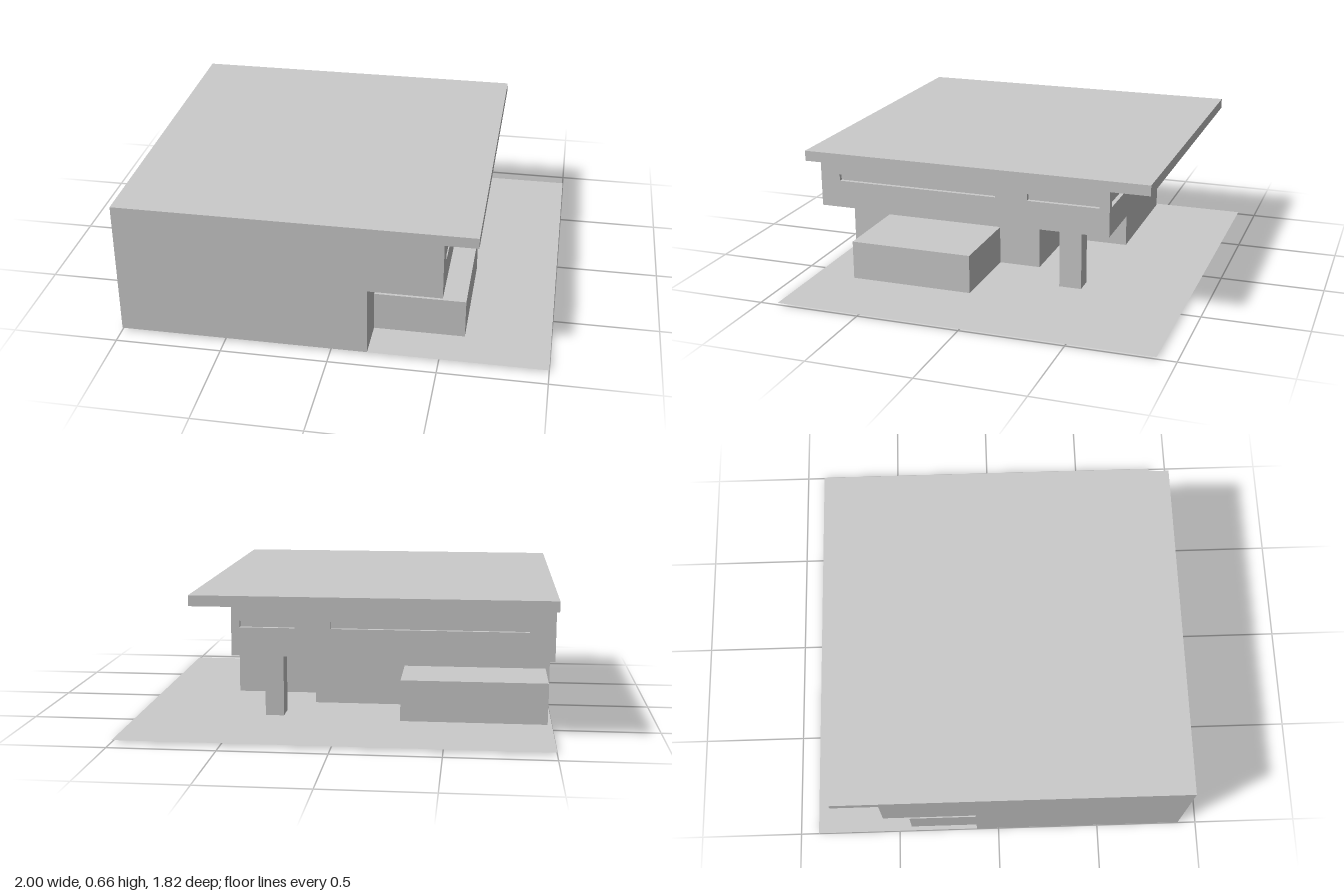
import * as THREE from 'three';

const material = new THREE.MeshStandardMaterial({ color: 0xcccccc, side: THREE.DoubleSide });
const GROUND = 0.01, FLOOR = 0.34, CEILING = 0.61, TOP = 0.66;

function add(parent, name, geometry) {
  const mesh = new THREE.Mesh(geometry, material);
  mesh.name = name;
  parent.add(mesh);
  return mesh;
}

// Solid block given by its limits on each axis
function block(parent, name, [x0, x1], [y0, y1], [z0, z1]) {
  const mesh = add(parent, name, new THREE.BoxGeometry(x1 - x0, y1 - y0, z1 - z0));
  mesh.position.set((x0 + x1) / 2, (y0 + y1) / 2, (z0 + z1) / 2);
}

const polygon = (points) => points.map(([x, y]) => new THREE.Vector2(x, y));
const rect = (x0, x1, y0, y1) => [[x0, y0], [x1, y0], [x1, y1], [x0, y1]];

// Thin flat wall facing local +z; each opening [x0, x1, y0, y1] is a shallow recess
function wall(parent, name, outline, openings = [], depth = 0.02) {
  const group = new THREE.Group();
  group.name = name;
  const shape = new THREE.Shape(polygon(outline));
  for (const [x0, x1, y0, y1] of openings) {
    shape.holes.push(new THREE.Path(polygon(rect(x0, x1, y0, y1))));
    const recess = new THREE.BoxGeometry(x1 - x0, y1 - y0, depth);
    // Leave out the front face of the box so the recess is open
    const index = Array.from(recess.index.array);
    index.splice(24, 6);
    recess.setIndex(index);
    recess.clearGroups();
    add(group, 'recess', recess).position.set((x0 + x1) / 2, (y0 + y1) / 2, -depth / 2);
  }
  add(group, name + 'Surface', new THREE.ShapeGeometry(shape));
  parent.add(group);
  return group;
}

// Horizontal sheet from a plan outline in x and z
function sheet(parent, name, plan, y) {
  const shape = new THREE.Shape(polygon(plan.map(([x, z]) => [x, -z])));
  const mesh = add(parent, name, new THREE.ShapeGeometry(shape));
  mesh.rotation.x = -Math.PI / 2;
  mesh.position.y = y;
}

export function createModel() {
  const model = new THREE.Group();
  model.name = 'house';

  // Ground around the lower storey, and the underside of the overhanging storey
  const lPlan = (x, z) => [[-1, z], [x, z], [x, 0.91], [0.17, 0.91], [0.17, -0.11], [-1, -0.11]];
  sheet(model, 'ground', lPlan(1, -0.91), GROUND);
  sheet(model, 'upperStoreyUnderside', lPlan(0.51, -0.56), FLOOR);

  // Flat roof with eaves on two sides
  block(model, 'roof', [-1, 0.66], [CEILING, TOP], [-0.785, 0.91]);

  // Stepped walls on the two flush sides
  wall(model, 'frontWall', [[-1, GROUND], [0.17, GROUND], [0.17, FLOOR], [0.51, FLOOR],
    [0.51, CEILING], [-1, CEILING]]).position.z = 0.91;
  const side = wall(model, 'rightWall', [[-0.11, GROUND], [0.91, GROUND], [0.91, CEILING],
    [-0.56, CEILING], [-0.56, FLOOR], [-0.11, FLOOR]]);
  side.rotation.y = -Math.PI / 2;
  side.position.x = -1;

  // Upper storey walls with slot windows
  const upperLeft = wall(model, 'upperLeftWall', rect(-0.91, 0.56, FLOOR, CEILING),
    [[-0.81, 0, 0.475, 0.508], [0.16, 0.51, 0.475, 0.508]]);
  upperLeft.rotation.y = Math.PI / 2;
  upperLeft.position.x = 0.51;
  const upperBack = wall(model, 'upperBackWall', rect(-0.51, 1, FLOOR, CEILING),
    [[-0.47, -0.21, 0.475, 0.508], [-0.04, 0.88, 0.475, 0.508]]);
  upperBack.rotation.y = Math.PI;
  upperBack.position.z = -0.56;

  // Lower storey walls, with a doorway at the back
  const lowerLeft = wall(model, 'lowerLeftWall', rect(-0.91, 0.11, GROUND, FLOOR));
  lowerLeft.rotation.y = Math.PI / 2;
  lowerLeft.position.x = 0.17;
  const lowerBack = wall(model, 'lowerBackWall', [[-0.17, GROUND], [-0.02, GROUND], [-0.02, 0.26],
    [0.115, 0.26], [0.115, GROUND], [1, GROUND], [1, FLOOR], [-0.17, FLOOR]]);
  lowerBack.rotation.y = Math.PI;
  lowerBack.position.z = -0.11;
  block(model, 'door', [-0.115, 0.02], [GROUND, 0.26], [-0.11, -0.09]);

  // Low blocks against the lower storey, and the supporting column
  block(model, 'sideBlock', [0.17, 0.6], [GROUND, 0.2], [0.1, 0.71]);
  block(model, 'backBlock', [-0.98, -0.28], [GROUND, 0.21], [-0.44, -0.11]);
  block(model, 'column', [0.29, 0.38], [0, FLOOR], [-0.39, -0.28]);

  return model;
}
